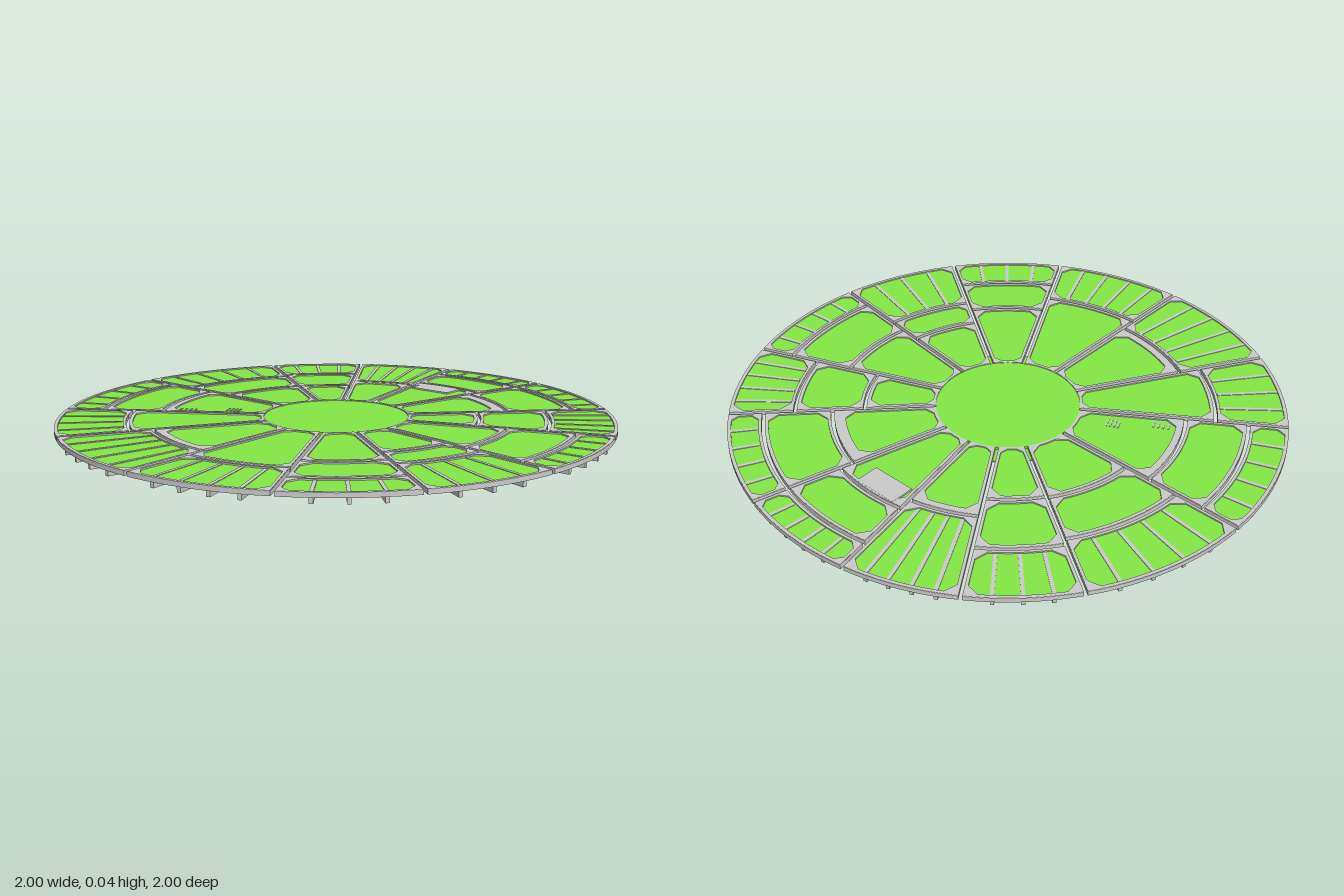
import * as THREE from 'three';

const green = new THREE.MeshStandardMaterial({ color: 0x84e844 });
const grey = new THREE.MeshStandardMaterial({ color: 0xcccccc });
const RAD = Math.PI / 180;
const DISC = 0.26;      // radius of the central disc
const GAP = 0.006;      // half width of the open joints

// Sectors: start angle (degrees, clockwise from +x seen from above),
// radii of the ring joints, fin count, width of the wide inner kerb
const sectors = [
  { from: -1, joints: [0.515, 0.765], fins: 4 },
  { from: 23.3, joints: [0.63, 0.87], fins: 4 },
  { from: 52.7, joints: [0.55, 0.7], fins: 3 },
  { from: 79.6, joints: [0.645, 0.84], fins: 3 },
  { from: 105.5, joints: [0.735], fins: 4 },
  { from: 135, joints: [0.67], fins: 4, kerb: 0.03 },
  { from: 165.9, joints: [0.745], fins: 3 },
  { from: 191.3, joints: [0.64, 0.86], fins: 4, kerb: 0.025 },
  { from: 225.4, joints: [0.545, 0.755], fins: 4 },
  { from: 259.1, joints: [0.54, 0.78], fins: 3 },
  { from: 281.1, joints: [0.63], fins: 4, kerb: 0.025 },
  { from: 303.8, joints: [0.68, 0.875], fins: 4 },
  { from: 329.5, joints: [0.63, 0.875], fins: 4, kerb: 0.04 },
];

// Counter-clockwise outline of a ring-sector cell, inset from its joints, with cut corners
function outline(cell, inset, cut = 0, kerb = inset) {
  const pts = [];
  const r0 = cell.r0 + inset, r1 = cell.r1 - kerb;
  // the inner end is narrower, so its corners are cut less
  const cut0 = Math.min(cut, 0.2 * (cell.a1 - cell.a0) * cell.r0);
  const point = (r, a) => pts.push(new THREE.Vector2(r * Math.cos(a), -r * Math.sin(a)));
  const side = (r, extra) => Math.asin((GAP + inset + extra) / r);
  const arc = (r, extra, flip) => {
    const lo = cell.a0 + side(r, extra), hi = cell.a1 - side(r, extra);
    for (let i = 0; i <= 12; i++) {
      const t = flip ? 1 - i / 12 : i / 12;
      point(r, lo + (hi - lo) * t);
    }
  };
  arc(r1, cut, true);
  if (cut) {
    point(r1 - cut, cell.a0 + side(r1 - cut, 0));
    point(r0 + cut0, cell.a0 + side(r0 + cut0, 0));
  }
  arc(r0, cut0, false);
  if (cut) {
    point(r0 + cut0, cell.a1 - side(r0 + cut0, 0));
    point(r1 - cut, cell.a1 - side(r1 - cut, 0));
  }
  return pts;
}

// Flat horizontal slab between two heights, optionally with a hole
function slab(name, outer, hole, y0, y1, material) {
  const shape = new THREE.Shape(outer);
  if (hole) shape.holes.push(new THREE.Path(hole));
  const geo = new THREE.ExtrudeGeometry(shape, { depth: y1 - y0, bevelEnabled: false });
  geo.rotateX(-Math.PI / 2).translate(0, y0, 0);
  const mesh = new THREE.Mesh(geo, material);
  mesh.name = name;
  return mesh;
}

// Box lying along a radius
function radialBox(name, r, angle, length, width, y0, y1) {
  const mesh = new THREE.Mesh(new THREE.BoxGeometry(length, y1 - y0, width), grey);
  mesh.position.set(r * Math.cos(angle), (y0 + y1) / 2, r * Math.sin(angle));
  mesh.rotation.y = -angle;
  mesh.name = name;
  return mesh;
}

// Round plate between two heights
function plate(name, radius, y0, y1) {
  const mesh = new THREE.Mesh(new THREE.CylinderGeometry(radius, radius, y1 - y0, 64), green);
  mesh.name = name;
  mesh.position.y = (y0 + y1) / 2;
  return mesh;
}

// One panel: green slab, thin edge wall, and grey border with corner plates
function panel(cell, kerb) {
  const g = new THREE.Group();
  g.name = 'panel';
  const cut = Math.min(0.035, (cell.r1 - cell.r0) * 0.2);
  g.add(
    slab('lawn', outline(cell, 0.002), null, 0.028, 0.034, green),
    slab('edgeWall', outline(cell, 0), outline(cell, 0.006), 0.022, 0.038, grey),
    slab('border', outline(cell, 0.001), outline(cell, 0.011, cut, kerb), 0.033, 0.039, grey),
  );
  return g;
}

export function createModel() {
  const model = new THREE.Group();
  model.name = 'segmentedDisc';

  // Central disc and the wider plate beneath it
  model.add(plate('centralDisc', DISC, 0.026, 0.036));
  model.add(plate('underPlate', 0.325, 0.021, 0.026));

  sectors.forEach((s, i) => {
    const group = new THREE.Group();
    group.name = 'sector';
    const a0 = s.from * RAD;
    const a1 = (i + 1 < sectors.length ? sectors[i + 1].from : 359) * RAD;
    const radii = [DISC, ...s.joints, 1];

    // Panels between the ring joints
    for (let k = 0; k + 1 < radii.length; k++) {
      const cell = {
        a0, a1,
        r0: radii[k] + (k ? GAP : 0),
        r1: radii[k + 1] - (k + 2 < radii.length ? GAP : 0),
      };
      group.add(panel(cell, k === 0 && s.kerb ? s.kerb : 0.013));
    }

    // Supporting fins under the outer panel, showing as strips on top
    const inner = s.joints[s.joints.length - 1] + 0.02;
    for (let f = 1; f <= s.fins; f++) {
      const a = a0 + (a1 - a0) * f / (s.fins + 1);
      group.add(radialBox('fin', (inner + 0.99) / 2, a, 0.99 - inner, 0.013, 0, 0.036));
    }
    model.add(group);
  });

  // Paved patch
  model.add(radialBox('pavedPatch', 0.62, -45.5 * RAD, 0.09, 0.17, 0.026, 0.0395));

  // Small slots and steps on one inner panel
  for (let i = 0; i < 4; i++) {
    model.add(radialBox('slot', 0.53 + i * 0.018, 196.5 * RAD, 0.006, 0.03, 0.033, 0.036));
    model.add(radialBox('step', 0.37 + i * 0.014, 200.5 * RAD, 0.005, 0.04, 0.033, 0.036));
  }
  return model;
}
